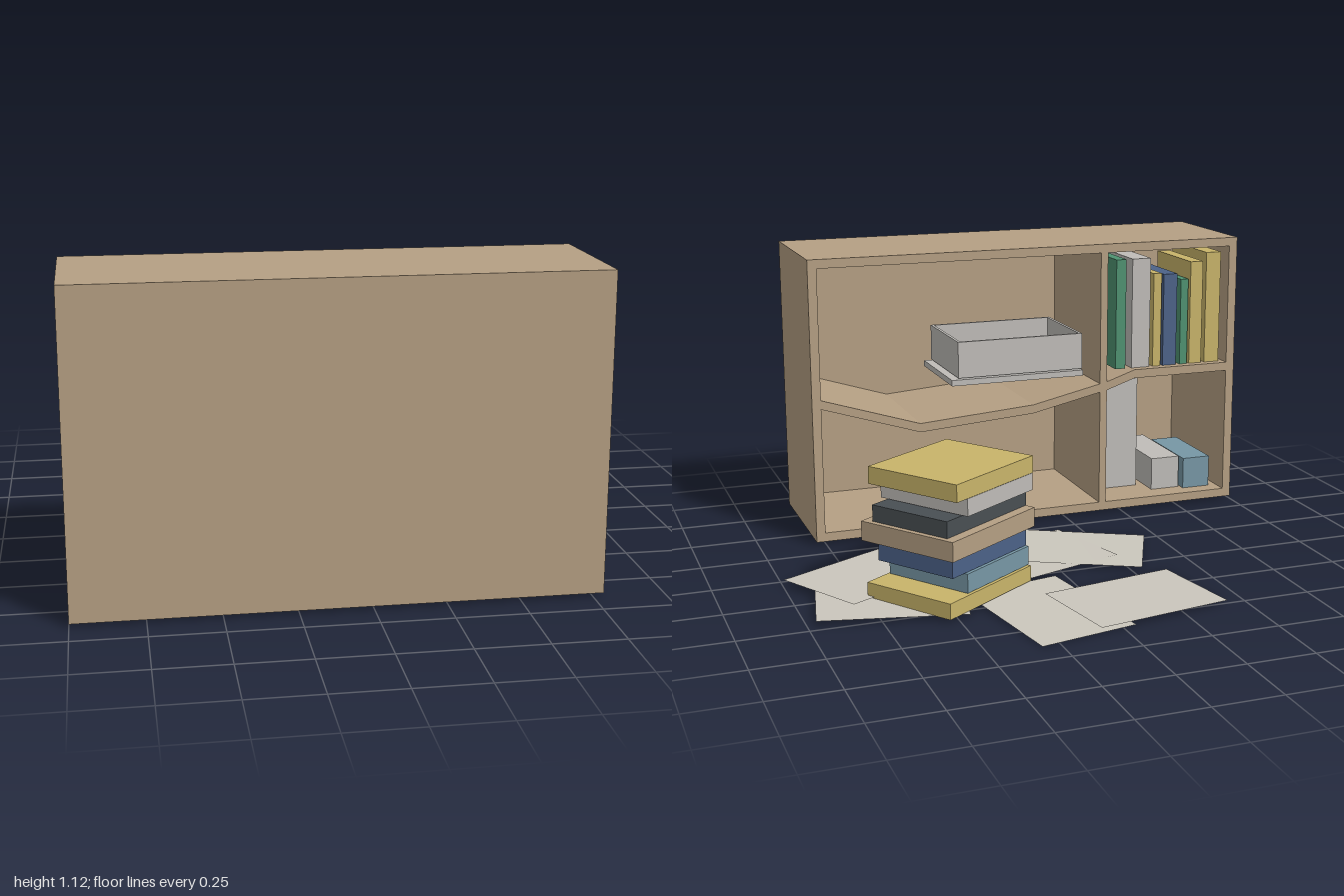
import * as THREE from 'three';

const mat = (name, color, side = THREE.FrontSide) => {
  const m = new THREE.MeshStandardMaterial({ color, side });
  m.name = name;
  return m;
};

export function createModel() {
  const root = new THREE.Group();
  root.name = 'bookcaseWithBooks';
  const wood = mat('wood', 0xb59f83);
  const paper = mat('paper', 0xcac6bc, THREE.DoubleSide);
  const grey = mat('grey', 0xbfbcb8);
  const yellow = mat('yellow', 0xc8b46a);
  const lightBlue = mat('lightBlue', 0x7797a5);
  const blue = mat('blue', 0x4c6288);
  const dark = mat('charcoal', 0x494f53);
  const green = mat('green', 0x4f9271);

  // box given by its two extreme corners
  function block(parent, name, m, [x0, x1], [y0, y1], [z0, z1]) {
    const mesh = new THREE.Mesh(new THREE.BoxGeometry(Math.abs(x1 - x0), y1 - y0, z1 - z0), m);
    mesh.position.set((x0 + x1) / 2, (y0 + y1) / 2, (z0 + z1) / 2);
    mesh.name = name;
    parent.add(mesh);
    return mesh;
  }
  function group(name) {
    const g = new THREE.Group();
    g.name = name;
    root.add(g);
    return g;
  }

  // bookcase frame, open towards -z
  const bookcase = group('bookcase');
  const T = 0.035, X0 = -1, X1 = 0.787, Y0 = 0.015, Y1 = 1.122, Z0 = 0.355, Z1 = 0.89;
  block(bookcase, 'backPanel', wood, [X0, X1], [Y0, Y1], [Z1 - 0.012, Z1]);
  for (const [n, x] of [['sideRight', X0], ['sideLeft', X1 - T]])
    block(bookcase, n, wood, [x, x + T], [Y0, Y1], [Z0, Z1 - 0.012]);
  for (const [n, y] of [['bottomBoard', Y0], ['topBoard', Y1 - T]])
    block(bookcase, n, wood, [X0 + T, X1 - T], [y, y + T], [Z0, Z1 - 0.012]);
  block(bookcase, 'divider', wood, [-0.428, -0.398], [Y0 + T, Y1 - T], [Z0, Z1 - 0.012]);

  // sagging middle shelf
  const line = [[-0.965, 0.6], [-0.55, 0.6], [-0.43, 0.56], [-0.11, 0.49], [0.36, 0.455], [0.752, 0.58]];
  const outline = [...line, ...line.map(([x, y]) => [x, y - T]).reverse()];
  const shelfShape = new THREE.Shape(outline.map(([x, y]) => new THREE.Vector2(x, y)));
  const shelf = new THREE.Mesh(
    new THREE.ExtrudeGeometry(shelfShape, { depth: Z1 - 0.012 - Z0, bevelEnabled: false }), wood);
  shelf.position.z = Z0;
  shelf.name = 'saggingShelf';
  bookcase.add(shelf);

  // upright books: right edge, left edge, top, colour
  const upright = group('uprightBooks');
  [
    [-0.523, -0.48, 1.05, green],
    [-0.63, -0.55, 1.05, grey],
    [-0.68, -0.645, 0.985, yellow],
    [-0.75, -0.69, 0.98, blue],
    [-0.8, -0.767, 0.955, green],
    [-0.865, -0.81, 1.025, yellow],
    [-0.945, -0.88, 1.06, yellow],
  ].forEach(([a, b, top, m]) => block(upright, 'uprightBook', m, [a, b], [0.6, top], [0.39, 0.72]));

  // open tray on its lid
  const tray = group('openTray');
  const w = 0.012, tx = [-0.36, 0.17], ty = [0.598, 0.745], tz = [0.46, 0.845];
  block(tray, 'trayLid', grey, [-0.36, 0.2], [0.57, 0.594], [0.45, 0.85]);
  block(tray, 'trayFloor', grey, tx, [ty[0], ty[0] + w], tz);
  for (const x of [tx[0], tx[1] - w]) block(tray, 'trayEnd', grey, [x, x + w], [ty[0] + w, ty[1]], tz);
  for (const z of [tz[0], tz[1] - w])
    block(tray, 'traySide', grey, [tx[0] + w, tx[1] - w], [ty[0] + w, ty[1]], [z, z + w]);

  // boxes in the lower compartment
  const lower = group('lowerBoxes');
  block(lower, 'tallBox', grey, [-0.64, -0.475], [0.05, 0.52], [0.53, 0.85]);
  block(lower, 'lowBox', grey, [-0.8, -0.675], [0.05, 0.185], [0.446, 0.82]);
  block(lower, 'lowBook', lightBlue, [-0.93, -0.81], [0.05, 0.18], [0.42, 0.75]);

  // stack of books sharing one spine edge: width, depth, bottom, top, colour
  const stack = group('bookStack');
  stack.position.set(0.2575, 0, -0.1825);
  stack.rotation.y = 0.607;
  [
    [0.47, 0.37, 0.017, 0.075, yellow],
    [0.36, 0.35, 0.077, 0.147, lightBlue],
    [0.43, 0.33, 0.149, 0.225, blue],
    [0.475, 0.405, 0.228, 0.299, wood],
    [0.457, 0.33, 0.3, 0.36, dark],
    [0.378, 0.385, 0.362, 0.425, grey],
    [0.44, 0.39, 0.427, 0.49, yellow],
  ].forEach(([wd, d, y0, y1, m]) => block(stack, 'stackedBook', m, [0, wd], [y0, y1], [-d / 2, d / 2]));

  // loose sheets: x, y, z, turn, tilt
  const sheets = group('looseSheets');
  const sheetGeo = new THREE.PlaneGeometry(0.525, 0.372).rotateX(-Math.PI / 2);
  [
    [-0.14, 0.017, -0.617, 0.185, 0.01],
    [0.18, 0.008, -0.6, -1.38, 0.02],
    [-0.133, 0.016, -0.048, -0.437, 0.02],
    [0.05, 0.012, -0.075, 0.287, -0.015],
    [0.677, 0.02, -0.34, -0.203, 0.01],
    [0.677, 0.025, -0.083, 0.504, 0.01],
  ].forEach(([x, y, z, turn, tilt]) => {
    const s = new THREE.Mesh(sheetGeo, paper);
    s.position.set(x, y, z);
    s.rotation.set(0, turn, tilt);
    s.name = 'looseSheet';
    sheets.add(s);
  });

  return root;
}
